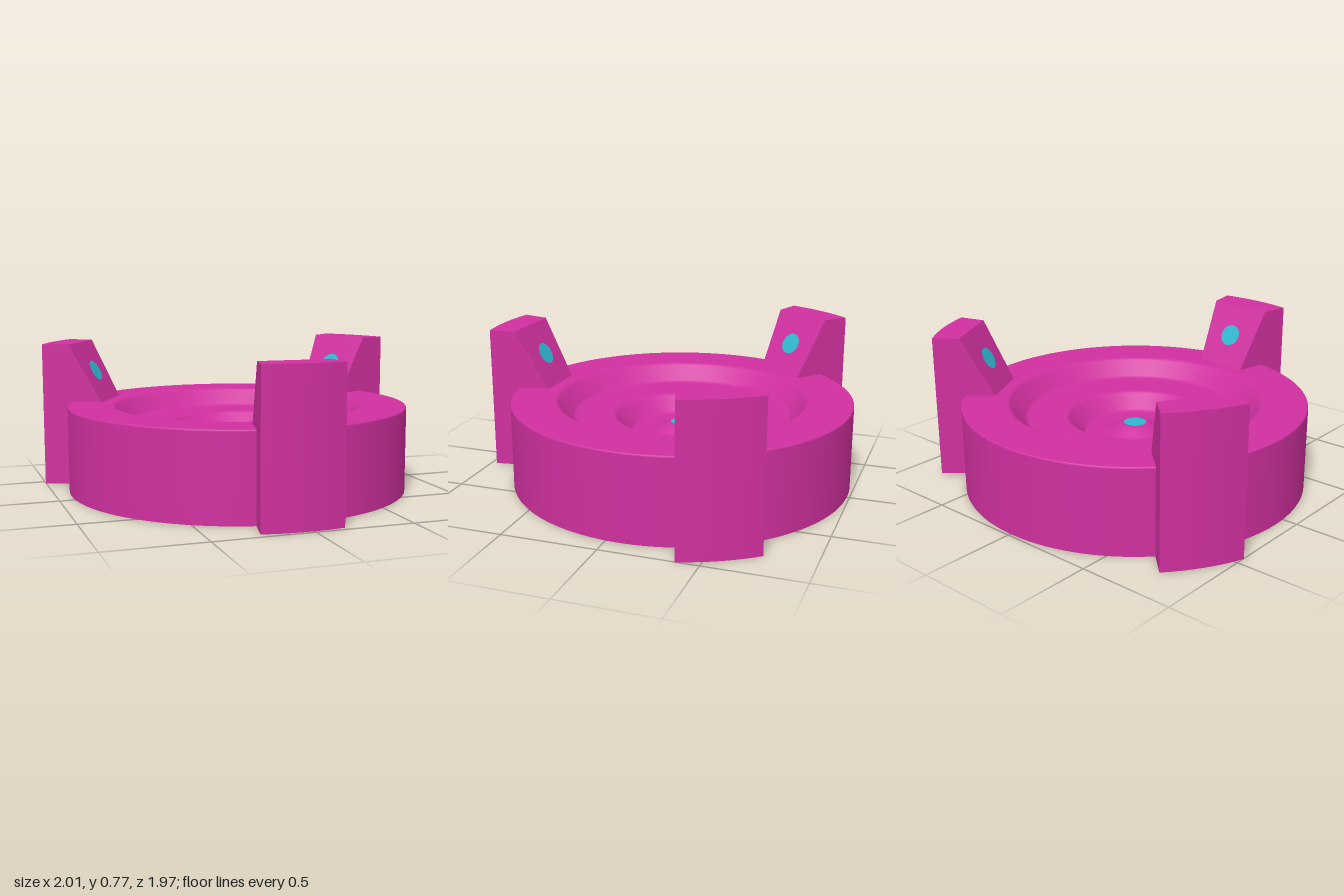
import * as THREE from 'three';
import { toCreasedNormals } from 'three/addons/utils/BufferGeometryUtils.js';

const PINK = new THREE.MeshStandardMaterial({ color: 0xd0309f, side: THREE.DoubleSide });
const TEAL = new THREE.MeshStandardMaterial({ color: 0x2fb8d0, side: THREE.DoubleSide });

const DISC_R = 0.91, DISC_H = 0.455;      // round body
const TAB_R = 1.06, TAB_H = 0.77;         // upright tabs
const SLOPE_IN = 0.727, SLOPE_OUT = 0.9;  // sloped inner face of a tab
const HALF = THREE.MathUtils.degToRad(11.2);
const TAB_ANGLES = [-2, 118, -122].map(THREE.MathUtils.degToRad);
const DOT_R = 0.06;

function addMesh(parent, name, geometry, material) {
  const mesh = new THREE.Mesh(geometry, material);
  mesh.name = name;
  parent.add(mesh);
  return mesh;
}

// Profile with every inner corner replaced by a short rounded bend
function roundedProfile(corners, r) {
  const pts = corners.map(([x, y]) => new THREE.Vector2(x, y));
  const out = [pts[0]];
  for (let i = 1; i < pts.length - 1; i++) {
    const p = pts[i];
    const a = p.clone().add(pts[i - 1].clone().sub(p).setLength(r));
    const b = p.clone().add(pts[i + 1].clone().sub(p).setLength(r));
    out.push(...new THREE.QuadraticBezierCurve(a, p, b).getPoints(4));
  }
  out.push(pts[pts.length - 1]);
  return out;
}

// Hollow tab: swept sections, open below and towards the body
function tabShell() {
  const steps = 8, pos = [];
  const section = (a) => {
    const k = 1 / Math.cos(a); // keeps the inner slope flat
    return [[TAB_R, 0], [TAB_R, TAB_H], [SLOPE_OUT * k, TAB_H], [SLOPE_IN * k, DISC_H]]
      .map(([r, y]) => [r * Math.sin(a), y, r * Math.cos(a)]);
  };
  for (let i = 0; i < steps; i++) {
    const s = section(-HALF + (2 * HALF * i) / steps);
    const t = section(-HALF + (2 * HALF * (i + 1)) / steps);
    for (let j = 0; j < 3; j++) {
      pos.push(...s[j], ...t[j], ...t[j + 1], ...s[j], ...t[j + 1], ...s[j + 1]);
    }
  }
  const g = new THREE.BufferGeometry();
  g.setAttribute('position', new THREE.Float32BufferAttribute(pos, 3));
  return toCreasedNormals(g, 0.5);
}

// Flat side wall of a tab, standing in a radial plane
function tabSide(angle) {
  const k = 1 / Math.cos(HALF);
  const outline = [[DISC_R, 0], [TAB_R, 0], [TAB_R, TAB_H], [SLOPE_OUT * k, TAB_H],
    [SLOPE_IN * k, DISC_H], [DISC_R, DISC_H]].map(([x, y]) => new THREE.Vector2(x, y));
  return new THREE.ShapeGeometry(new THREE.Shape(outline)).rotateY(angle - Math.PI / 2);
}

export function createModel() {
  const model = new THREE.Group();
  model.name = 'threeTabDish';
  const body = new THREE.Group();
  body.name = 'body';
  body.position.set(-0.012, 0, -0.076);
  model.add(body);

  // Stepped dish with a raised centre
  const dish = roundedProfile([
    [0.745, DISC_H], [0.666, DISC_H], [0.575, 0.36], [0.358, 0.36],
    [0.265, 0.27], [0.144, 0.27], [0.075, 0.31], [0, 0.31],
  ], 0.014);
  addMesh(body, 'dish', new THREE.LatheGeometry(dish, 96), PINK);

  const centreDot = addMesh(body, 'centreDot', new THREE.CircleGeometry(DOT_R, 32), TEAL);
  centreDot.rotation.x = -Math.PI / 2;
  centreDot.position.y = 0.313;

  // Outer wall and rim in three arcs between the tabs
  const rim = roundedProfile([[DISC_R, 0], [DISC_R, DISC_H], [0.735, DISC_H]], 0.01);
  const arc = (2 * Math.PI) / 3 - 2 * HALF;

  const slopeTilt = Math.atan2(SLOPE_OUT - SLOPE_IN, TAB_H - DISC_H);
  for (const angle of TAB_ANGLES) {
    addMesh(body, 'outerWall', new THREE.LatheGeometry(rim, 32, angle + HALF, arc), PINK);

    const tab = new THREE.Group();
    tab.name = 'tab';
    tab.rotation.y = angle;
    body.add(tab);
    addMesh(tab, 'tabShell', tabShell(), PINK);
    for (const side of [-1, 1]) addMesh(tab, 'tabSide', tabSide(side * HALF), PINK);

    // Dot lying on the sloped face
    const dot = addMesh(tab, 'tabDot', new THREE.CircleGeometry(DOT_R, 32), TEAL);
    dot.rotation.set(slopeTilt, Math.PI, 0);
    dot.position.set(0, (TAB_H + DISC_H) / 2 + 0.002, (SLOPE_IN + SLOPE_OUT) / 2 - 0.003);
  }
  return model;
}
